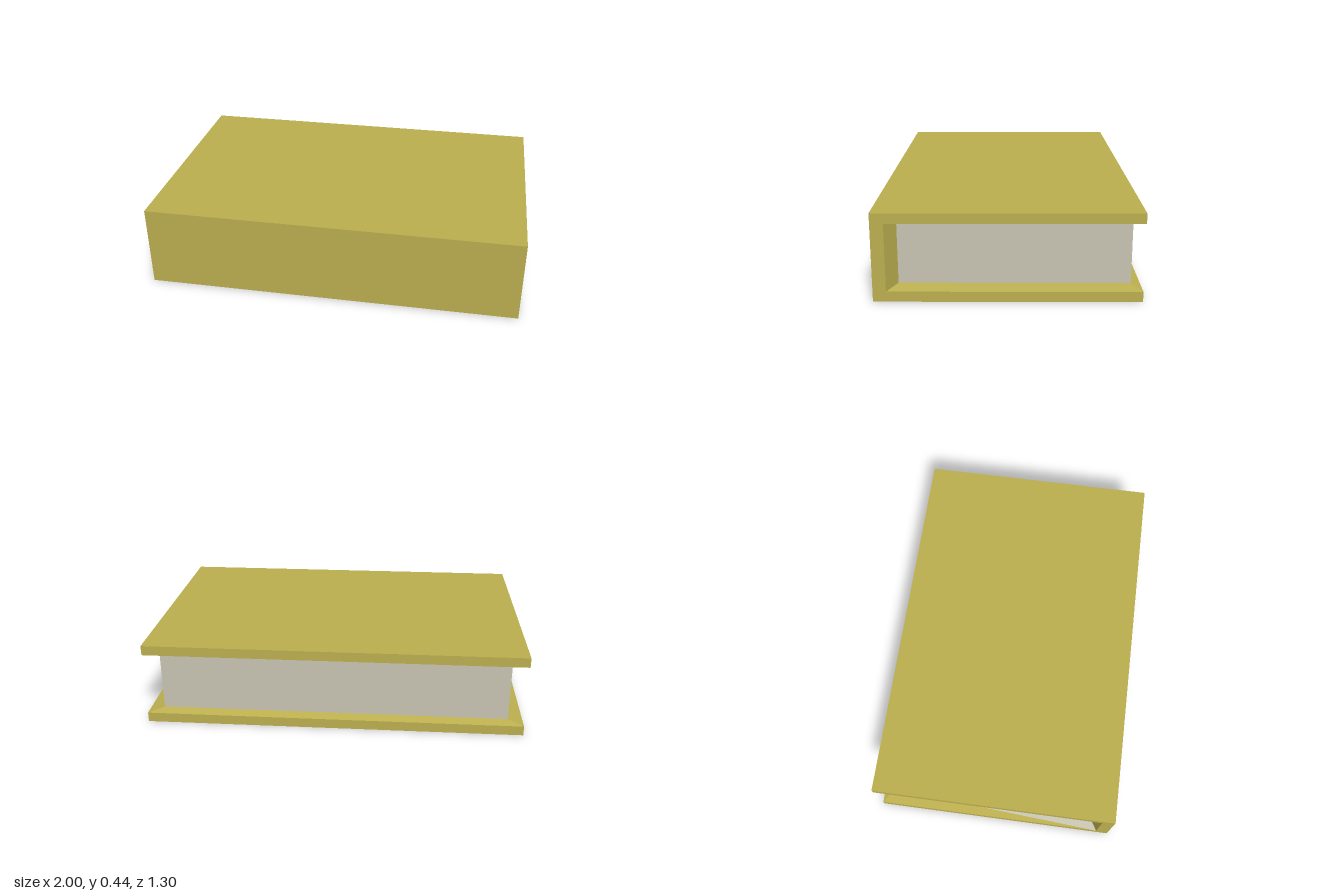
import * as THREE from 'three';

// Nested U sections, bottom back -> bottom front -> top front -> top back.
// Each has a half-width x and [y, z] corners.
const section = (x, yLow, yHigh, zFront, zBack) =>
  [[yLow, zBack], [yLow, zFront], [yHigh, zFront], [yHigh, zBack]].map(([y, z]) => [x, y, z]);

const outer = section(1, 0, 0.445, 0.65, -0.65);        // outside of the cover
const lip = section(1, 0.052, 0.393, 0.585, -0.65);     // inner edge of the boards
const rim = section(0.92, 0.066, 0.38, 0.535, -0.6);    // where the pages meet the cover

// Collects convex faces as flat triangles
class Faces {
  positions = [];
  add(...points) {
    for (let i = 1; i < points.length - 1; i++) {
      this.positions.push(...points[0], ...points[i], ...points[i + 1]);
    }
  }
  // Face on one end of the book; side -1 mirrors it
  addEnd(side, ...points) {
    const mirrored = points.map(([x, y, z]) => [x * side, y, z]);
    this.add(...(side < 0 ? mirrored.reverse() : mirrored));
  }
  // Face spanning the full width between two section corners
  addSpan(p, q) {
    const flip = ([x, y, z]) => [-x, y, z];
    this.add(flip(p), p, q, flip(q));
  }
  mesh(name, material) {
    const geometry = new THREE.BufferGeometry();
    geometry.setAttribute('position', new THREE.Float32BufferAttribute(this.positions, 3));
    geometry.computeVertexNormals();
    const mesh = new THREE.Mesh(geometry, material);
    mesh.name = name;
    return mesh;
  }
}

export function createModel() {
  const coverMaterial = new THREE.MeshStandardMaterial({ color: 0xbdb050 });
  coverMaterial.name = 'olive cover';
  const paperMaterial = new THREE.MeshStandardMaterial({ color: 0xc9c6b4 });
  paperMaterial.name = 'grey paper';

  const cover = new Faces();
  const pages = new Faces();

  // Boards, spine and the bevels along the open back edge
  const path = [rim[0], lip[0], ...outer, lip[3], rim[3]];
  for (let i = 0; i < path.length - 1; i++) cover.addSpan(path[i], path[i + 1]);

  // U-shaped cover ends and the bevels running in to the pages
  for (const side of [1, -1]) {
    for (let i = 0; i < 3; i++) {
      cover.addEnd(side, outer[i + 1], outer[i], lip[i], lip[i + 1]);
      // One sliver of the bottom bevel is paper coloured
      const sliver = side < 0 && i === 0 ? pages : cover;
      cover.addEnd(side, lip[i + 1], lip[i], rim[i]);
      sliver.addEnd(side, lip[i + 1], rim[i], rim[i + 1]);
    }
    pages.addEnd(side, rim[3], rim[2], rim[1], rim[0]);
  }

  // Long open edge of the pages
  pages.addSpan(rim[3], rim[0]);

  const book = new THREE.Group();
  book.name = 'book';
  book.add(cover.mesh('cover', coverMaterial), pages.mesh('pages', paperMaterial));
  return book;
}
